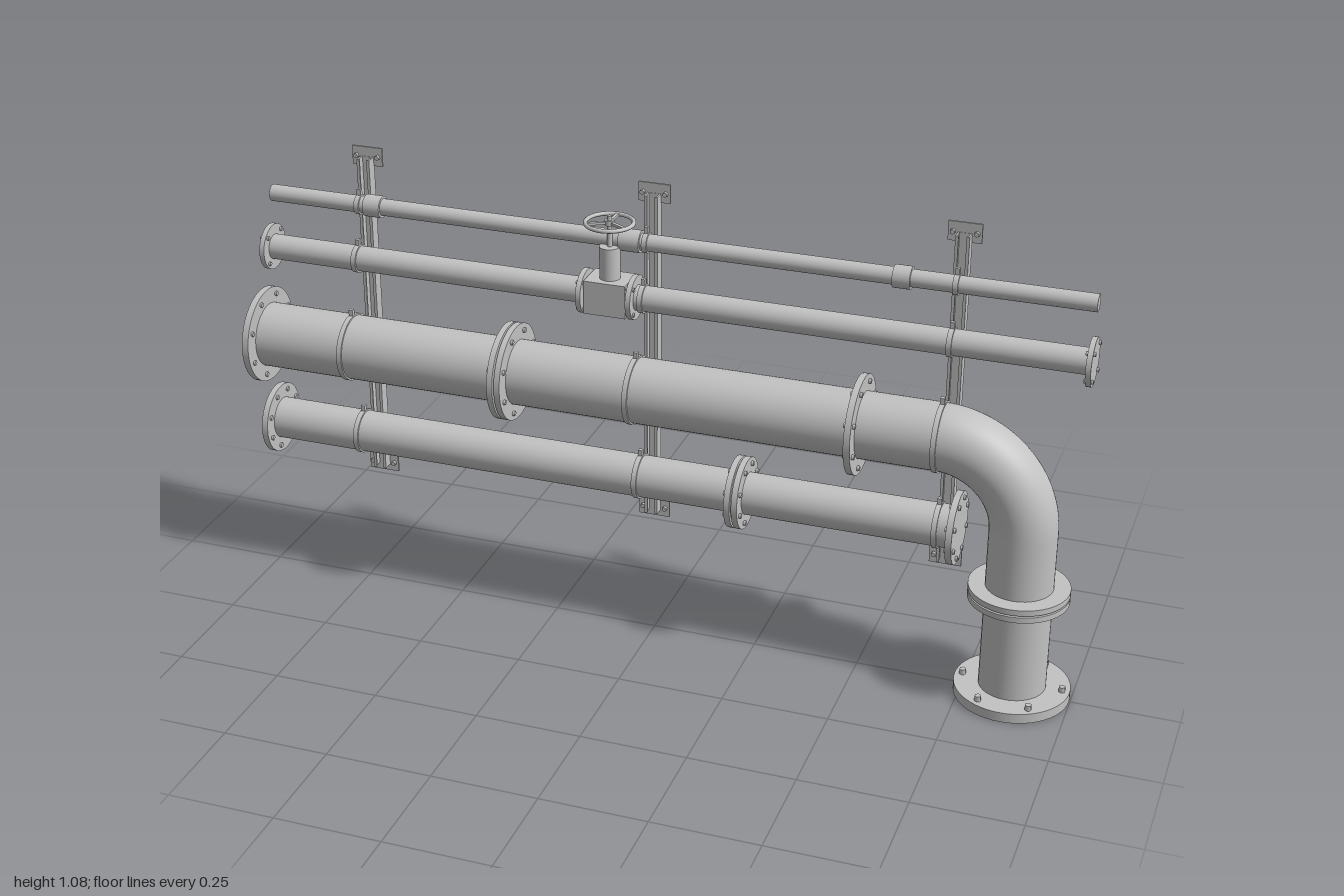
import * as THREE from 'three';

const steel = new THREE.MeshStandardMaterial({ color: 0xc2c2c2 });
steel.name = 'grey steel';

const AXES = { x: new THREE.Vector3(1, 0, 0), y: new THREE.Vector3(0, 1, 0) };
const UP = new THREE.Vector3(0, 1, 0);

function add(parent, name, geometry, x = 0, y = 0, z = 0) {
  const mesh = new THREE.Mesh(geometry, steel);
  mesh.name = name;
  mesh.position.set(x, y, z);
  parent.add(mesh);
  return mesh;
}

function box(parent, name, w, h, d, x, y, z) {
  return add(parent, name, new THREE.BoxGeometry(w, h, d), x, y, z);
}

// Cylinder centred on a point, lying along the x or y axis
function rod(parent, name, axis, r, length, x, y, z, sides = 40) {
  const mesh = add(parent, name, new THREE.CylinderGeometry(r, r, length, sides), x, y, z);
  mesh.quaternion.setFromUnitVectors(UP, AXES[axis]);
  return mesh;
}

// Disc flange with a ring of bolts passing through it
function flange(parent, name, axis, r, thick, x, y, z, bolts, boltR, phase, stickOut = 0.006, size = 0.006) {
  const group = new THREE.Group();
  group.name = name;
  group.position.set(x, y, z);
  group.quaternion.setFromUnitVectors(UP, AXES[axis]);
  parent.add(group);
  add(group, 'disc', new THREE.CylinderGeometry(r, r, thick, 48));
  for (let i = 0; i < bolts; i++) {
    const a = phase + (i / bolts) * Math.PI * 2;
    add(group, 'bolt', new THREE.CylinderGeometry(size, size, thick + 2 * stickOut, 6),
      Math.cos(a) * boltR, 0, Math.sin(a) * boltR);
  }
  return group;
}

// Two flanges bolted face to face
function joint(parent, name, r, x, y, z, bolts, boltR) {
  for (const s of [-1, 1]) {
    flange(parent, name, 'x', r, 0.014, x + s * 0.009, y, z, bolts, boltR, Math.PI / bolts);
  }
  rod(parent, 'gasket', 'x', r * 0.9, 0.008, x, y, z);
}

export function createModel() {
  const model = new THREE.Group();
  model.name = 'pipeRack';

  const MAIN = { y: 0.62, z: 0, r: 0.077 };
  const LOW = { y: 0.382, z: -0.033, r: 0.05 };
  const MID = { y: 0.825, z: -0.055, r: 0.03 };
  const THIN = { y: 0.953, z: -0.077, r: 0.02 };

  // Straight run from x = a to x = b
  const run = (parent, p, a, b) =>
    rod(parent, 'straightPipe', 'x', p.r, b - a, (a + b) / 2, p.y, p.z, 48);
  const section = (name) => {
    const g = new THREE.Group();
    g.name = name;
    model.add(g);
    return g;
  };

  // Main pipe with a quarter bend down to the floor
  const main = section('mainPipe');
  const bend = 0.2, dropX = 0.865;
  run(main, MAIN, -0.985, dropX - bend);
  const path = new THREE.CurvePath();
  const k = bend * 0.5523;
  path.add(new THREE.CubicBezierCurve3(
    new THREE.Vector3(dropX - bend, MAIN.y, 0),
    new THREE.Vector3(dropX - bend + k, MAIN.y, 0),
    new THREE.Vector3(dropX, MAIN.y - bend + k, 0),
    new THREE.Vector3(dropX, MAIN.y - bend, 0)));
  add(main, 'elbow', new THREE.TubeGeometry(path, 28, MAIN.r, 48, false));
  rod(main, 'dropPipe', 'y', MAIN.r, MAIN.y - bend, dropX, (MAIN.y - bend) / 2, 0, 48);
  flange(main, 'endFlange', 'x', 0.115, 0.016, -0.985, MAIN.y, 0, 8, 0.098, Math.PI / 8, 0.005);
  joint(main, 'jointFlange', 0.115, -0.352, MAIN.y, 0, 8, 0.098);
  flange(main, 'elbowFlange', 'x', 0.115, 0.015, 0.483, MAIN.y, 0, 8, 0.098, Math.PI / 8);
  for (const y of [0.257, 0.275]) rod(main, 'collar', 'y', 0.115, 0.014, dropX, y, 0, 48);
  rod(main, 'collarGasket', 'y', 0.105, 0.01, dropX, 0.266, 0, 48);

  // Floor flange, bolted from above
  rod(main, 'baseFlange', 'y', 0.133, 0.024, dropX, 0.012, 0, 56);
  for (let i = 0; i < 6; i++) {
    const a = (i / 6) * Math.PI * 2;
    rod(main, 'baseBolt', 'y', 0.008, 0.014, dropX + Math.cos(a) * 0.115, 0.03, Math.sin(a) * 0.115, 6);
  }

  // Lower pipe
  const low = section('lowerPipe');
  run(low, LOW, -0.985, 0.708);
  for (const x of [-0.985, 0.708]) {
    flange(low, 'endFlange', 'x', 0.085, 0.015, x, LOW.y, LOW.z, 8, 0.07, Math.PI / 8, 0.005);
  }
  joint(low, 'jointFlange', 0.085, 0.2, LOW.y, LOW.z, 8, 0.07);

  // Valve pipe
  const mid = section('valvePipe');
  run(mid, MID, -0.985, 0.975);
  for (const x of [-0.985, 0.975]) {
    flange(mid, 'endFlange', 'x', 0.055, 0.012, x, MID.y, MID.z, 4, 0.046, Math.PI / 4, 0.005, 0.005);
  }

  // Valve body, stem and three-spoked handwheel
  const valve = section('valve');
  valve.position.set(-0.127, MID.y, MID.z);
  box(valve, 'valveBody', 0.1, 0.08, 0.08, 0, 0, 0);
  for (const x of [-0.06, 0.06]) {
    flange(valve, 'valveFlange', 'x', 0.052, 0.012, x, 0, 0, 4, 0.044, Math.PI / 4, 0.004, 0.005);
  }
  rod(valve, 'bonnet', 'y', 0.024, 0.08, 0, 0.077, 0, 32);
  rod(valve, 'stem', 'y', 0.006, 0.08, 0, 0.15, 0, 16);
  const wheel = new THREE.Group();
  wheel.name = 'handwheel';
  wheel.position.y = 0.174;
  valve.add(wheel);
  add(wheel, 'wheelRim', new THREE.TorusGeometry(0.055, 0.005, 10, 40)).rotation.x = Math.PI / 2;
  rod(wheel, 'wheelHub', 'y', 0.011, 0.012, 0, 0, 0, 20);
  for (let i = 0; i < 3; i++) {
    const a = (i / 3) * Math.PI * 2 + Math.PI / 2;
    const spoke = box(wheel, 'wheelSpoke', 0.055, 0.006, 0.008, Math.cos(a) * 0.0275, 0, -Math.sin(a) * 0.0275);
    spoke.rotation.y = a;
  }

  // Thin pipe with couplings
  const thin = section('thinPipe');
  run(thin, THIN, -0.985, 0.975);
  for (const [x, w] of [[-0.72, 0.042], [-0.083, 0.05], [0.547, 0.04]]) {
    rod(thin, 'coupling', 'x', 0.026, w, x, THIN.y, THIN.z, 32);
  }

  // Channel posts with end plates and pipe clamps
  for (const x of [-0.758, -0.046, 0.667]) {
    const post = section('supportPost');
    post.position.x = x;
    const h = 0.808, cy = 0.649;
    box(post, 'channelBack', 0.032, h, 0.004, 0, cy, -0.129);
    for (const s of [-1, 1]) {
      box(post, 'channelSide', 0.004, h, 0.028, s * 0.014, cy, -0.117);
      box(post, 'channelLip', 0.007, h, 0.004, s * 0.0125, cy, -0.105);
    }
    for (const y of [0.251, 1.054]) {
      box(post, 'endPlate', 0.076, 0.045, 0.005, 0, y, -0.1305);
      for (const s of [-1, 1]) {
        const bolt = add(post, 'plateBolt', new THREE.CylinderGeometry(0.006, 0.006, 0.009, 6), s * 0.027, y, -0.1245);
        bolt.rotation.x = Math.PI / 2;
      }
    }
    for (const p of [MAIN, LOW, MID, THIN]) {
      const r = p.r + 0.004;
      rod(post, 'clampBand', 'x', r, 0.012, 0, p.y, p.z, 48);
      box(post, 'clampEar', 0.01, 0.018, 0.01, 0, p.y + r + 0.005, p.z);
      const back = p.z - p.r, reach = back + 0.105;
      box(post, 'clampTab', 0.014, 0.014, reach + 0.004, 0, p.y, back - reach / 2);
    }
  }
  return model;
}
